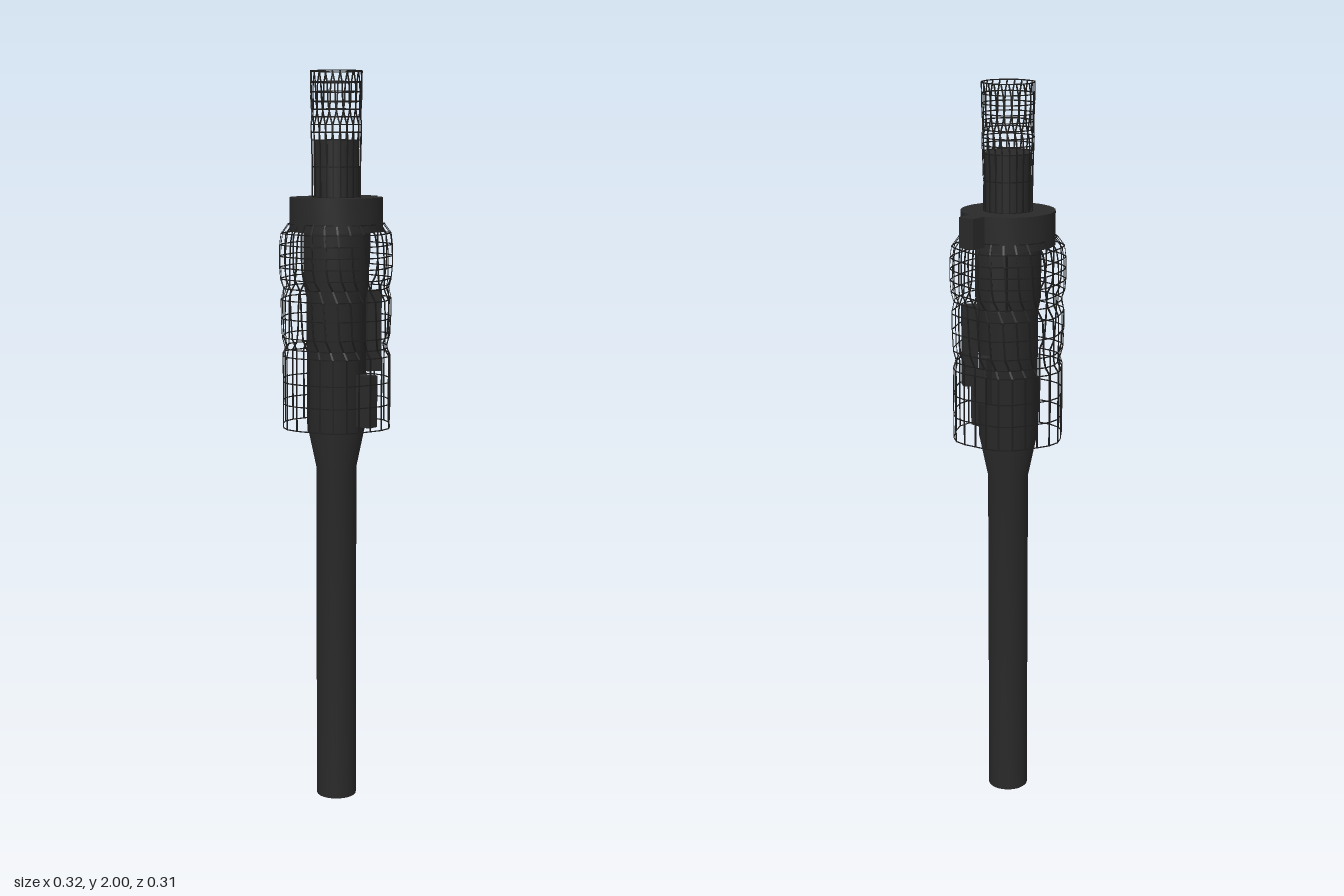
import * as THREE from 'three';
import { mergeGeometries, toCreasedNormals } from 'three/addons/utils/BufferGeometryUtils.js';

const dark = new THREE.MeshStandardMaterial({ color: 0x292929 });
const wire = new THREE.MeshStandardMaterial({ color: 0x1c1c1c });

// Thin flat bar from a to b, its broad face turned away from the axis
function strut(a, b, width, depth) {
  const along = b.clone().sub(a);
  const length = along.length();
  along.normalize();
  const mid = a.clone().add(b).multiplyScalar(0.5);
  const out = new THREE.Vector3(mid.x, 0, mid.z);
  out.addScaledVector(along, -out.dot(along)).normalize();
  const side = new THREE.Vector3().crossVectors(along, out);
  return new THREE.BoxGeometry(width, length + 0.001, depth)
    .applyMatrix4(new THREE.Matrix4().makeBasis(side, along, out).setPosition(mid));
}

// Lattice sleeve: each row is [height, radius, twist]; the lobes turn with the twist
function lattice(name, rows, count, lobe, barWidth) {
  const point = (row, i) => {
    const [y, r, twist] = row;
    const t = (i / count) * Math.PI * 2;
    const radius = r * (1 + lobe * Math.cos(6 * t));
    return new THREE.Vector3(radius * Math.cos(t + twist), y, radius * Math.sin(t + twist));
  };
  const bars = [];
  rows.forEach((row, j) => {
    for (let i = 0; i < count; i++) {
      bars.push(strut(point(row, i), point(row, i + 1), 0.003, 0.0015));
      if (j) bars.push(strut(point(rows[j - 1], i), point(row, i), barWidth, 0.0015));
    }
  });
  const mesh = new THREE.Mesh(mergeGeometries(bars), wire);
  mesh.name = name;
  return mesh;
}

function turned(name, profile) {
  const points = profile.map(([r, y]) => new THREE.Vector2(r, y));
  const geometry = toCreasedNormals(new THREE.LatheGeometry(points, 32), 0.6);
  const mesh = new THREE.Mesh(geometry, dark);
  mesh.name = name;
  return mesh;
}

// Box standing off the axis, facing outwards at its place
function block(name, x, y0, y1, z, width, depth) {
  const mesh = new THREE.Mesh(new THREE.BoxGeometry(width, y1 - y0, depth), dark);
  mesh.position.set(x, (y0 + y1) / 2, z);
  mesh.rotation.y = Math.atan2(x, z);
  mesh.name = name;
  return mesh;
}

export function createModel() {
  const model = new THREE.Group();
  model.name = 'cagedStaff';

  // Shaft flaring into the core
  model.add(turned('shaft', [
    [0, 0], [0.055, 0], [0.055, 0.94], [0.08, 1.06], [0.08, 1.4],
    [0.088, 1.44], [0.088, 1.59], [0, 1.59],
  ]));

  // Collar with its side lug, and the post above
  model.add(turned('collar', [[0, 1.58], [0.125, 1.58], [0.125, 1.67], [0, 1.67]]));
  model.add(block('collarLug', 0.129, 1.59, 1.67, -0.051, 0.048, 0.055));
  model.add(turned('post', [[0, 1.66], [0.06, 1.66], [0.06, 1.82], [0, 1.82]]));

  // Raised blocks stepping round the core
  model.add(block('lowerBlock', 0.03, 1.06, 1.2, 0.1, 0.035, 0.045));
  model.add(block('middleBlock', 0.1, 1.2, 1.42, 0.03, 0.03, 0.04));
  model.add(block('backBlock', 0.085, 1.16, 1.29, -0.03, 0.03, 0.02));
  model.add(block('upperBlock', 0.068, 1.42, 1.57, -0.078, 0.04, 0.03));

  // Large sleeve in three tiers, each turned against the one below
  model.add(lattice('sleeve', [
    [1.055, 0.149, 0.05], [1.12, 0.149, 0.05], [1.18, 0.149, 0.05], [1.25, 0.149, 0.05],
    [1.27, 0.141, 0.1], [1.3, 0.147, 0.18], [1.35, 0.149, 0.2], [1.4, 0.149, 0.22],
    [1.43, 0.141, 0.3], [1.455, 0.147, 0.38], [1.485, 0.149, 0.41], [1.515, 0.149, 0.42],
    [1.545, 0.148, 0.43], [1.575, 0.144, 0.45], [1.6, 0.126, 0.47],
  ], 26, 0.035, 0.005));

  // Narrow open sleeve round the post
  model.add(lattice('topSleeve', [
    [1.67, 0.066, 0], [1.75, 0.066, 0], [1.82, 0.068, 0], [1.84, 0.069, 0.02],
    [1.86, 0.069, 0.04], [1.88, 0.067, 0.12], [1.9, 0.067, 0.18], [1.92, 0.068, 0.21],
    [1.945, 0.069, 0.22], [1.97, 0.069, 0.24], [1.9985, 0.069, 0.32],
  ], 22, 0.02, 0.004));

  model.position.x = -0.005;
  return model;
}
